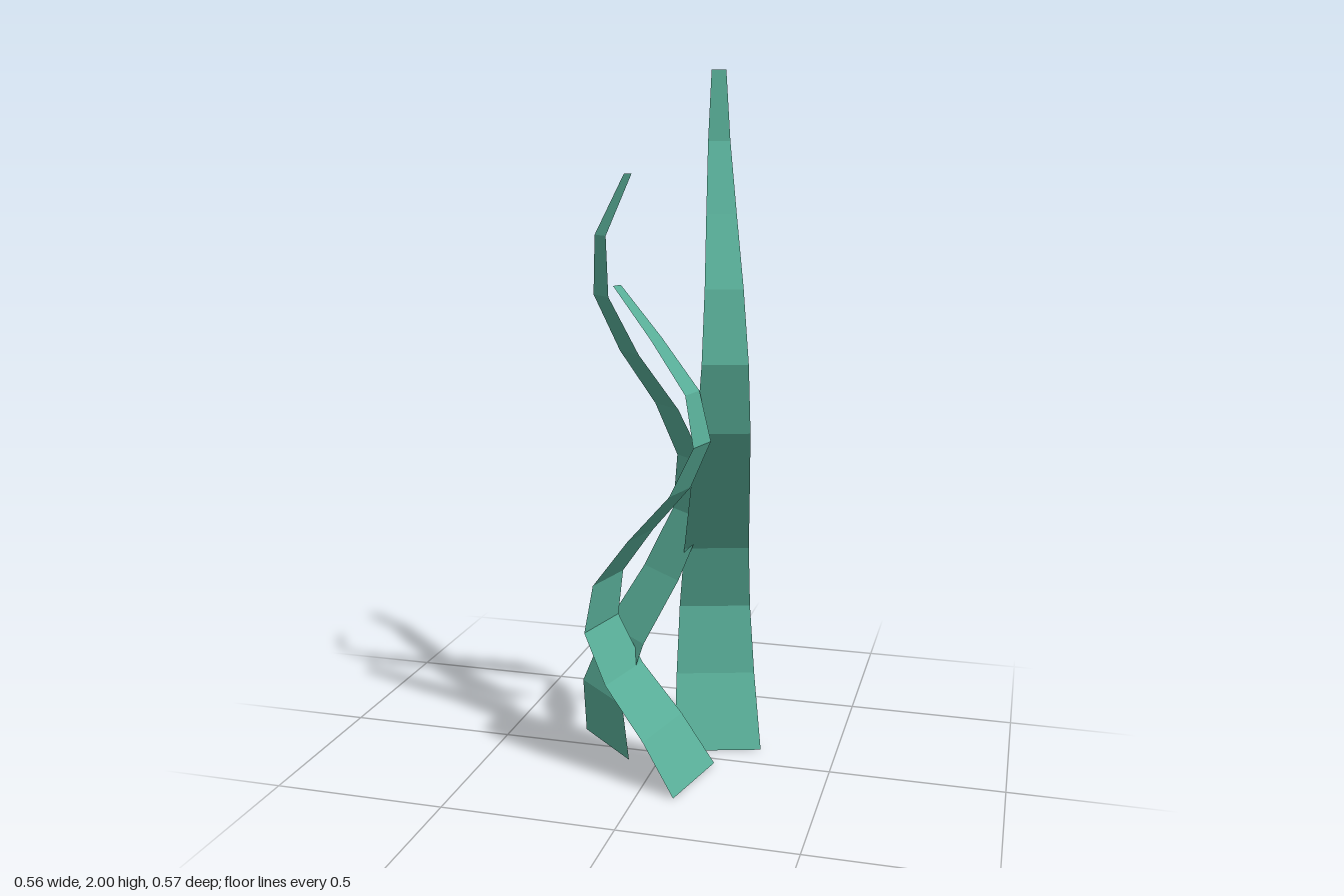
import * as THREE from 'three';

const SEGMENTS = 10;
const BASE_WIDTH = 0.26;
const TIP_WIDTH = 0.042;
const SWAY = 0.165;       // how far each blade swings from its axis
const STEP = 0.8;         // wave angle per segment

// x, z: blade axis; angle: direction of the blade's width in plan; phase: start of the wave
const blades = [
  { name: 'tallBlade', x: 0.153, z: -0.059, height: 2.0, angle: -17, phase: 0 },
  { name: 'shortBlade', x: -0.006, z: 0.124, height: 1.41, angle: 103, phase: 2 * Math.PI / 3 },
  { name: 'middleBlade', x: -0.084, z: -0.119, height: 1.71, angle: 43, phase: 4 * Math.PI / 3 },
];

// A flat strip bent into a tapering sine wave
function bladeGeometry({ x, z, height, angle, phase }) {
  const geometry = new THREE.PlaneGeometry(1, 1, 1, SEGMENTS);
  const position = geometry.attributes.position;
  const a = THREE.MathUtils.degToRad(angle);
  const wx = Math.cos(a), wz = Math.sin(a);
  for (let i = 0; i < position.count; i++) {
    const t = position.getY(i) + 0.5;
    const across = position.getX(i) * THREE.MathUtils.lerp(BASE_WIDTH, TIP_WIDTH, t);
    const sway = SWAY * Math.sin(phase + STEP * SEGMENTS * t);
    position.setXYZ(i, x + wx * across + wz * sway, t * height, z + wz * across - wx * sway);
  }
  geometry.computeVertexNormals();
  return geometry;
}

export function createModel() {
  const group = new THREE.Group();
  group.name = 'seaweed';
  const green = new THREE.MeshStandardMaterial({ color: 0x58ad97, flatShading: true, side: THREE.DoubleSide });
  green.name = 'sea green';
  for (const blade of blades) {
    const mesh = new THREE.Mesh(bladeGeometry(blade), green);
    mesh.name = blade.name;
    group.add(mesh);
  }
  return group;
}
